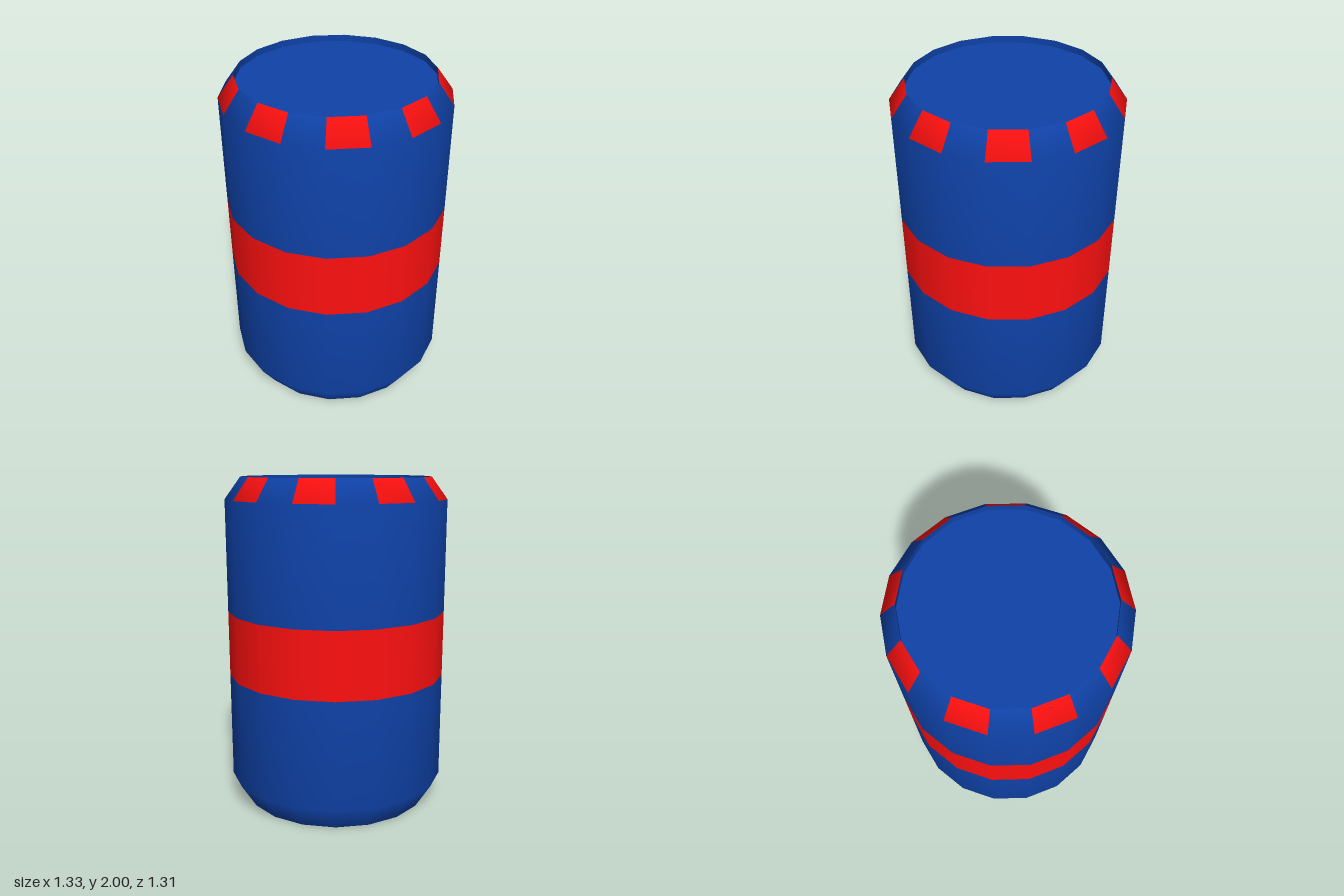
import * as THREE from 'three';

const SIDES = 18;
const RIM = 0.57, WALL = 0.665, RECESS = 0.04;
const blue = new THREE.MeshStandardMaterial({ color: 0x0f42a8 });
const red = new THREE.MeshStandardMaterial({ color: 0xff1010 });

// 18-sided surface of revolution with a corner on the +x axis
function lathe(profile) {
  const points = profile.map(([r, y]) => new THREE.Vector2(r, y));
  return new THREE.LatheGeometry(points, SIDES, Math.PI / 2);
}

export function createModel() {
  const model = new THREE.Group();
  model.name = 'barrel';

  function add(name, geometry, material) {
    const mesh = new THREE.Mesh(geometry, material);
    mesh.name = name;
    model.add(mesh);
    return mesh;
  }

  // Outer shell: bottom chamfer, lower wall, belt, upper wall, top chamfer
  const profile = [[RIM, 0], [WALL, 0.15], [WALL, 0.8], [WALL, 1.2], [WALL, 1.87], [RIM, 2]];
  const shell = lathe(profile);
  const rows = profile.length - 1;

  // Keep only the faces of the shell chosen by side and row, so shading stays continuous
  function patch(choose) {
    const all = Array.from(shell.index.array);
    const kept = [];
    for (let side = 0; side < SIDES; side++) {
      for (let row = 0; row < rows; row++) {
        const start = (side * rows + row) * 6;
        if (choose(side, row)) kept.push(...all.slice(start, start + 6));
      }
    }
    const geometry = shell.clone();
    geometry.setIndex(kept);
    return geometry;
  }

  const isBelt = (side, row) => row === 2;
  const isMark = (side, row) => row === 4 && side % 2 === 1;
  add('body', patch((s, r) => !isBelt(s, r) && !isMark(s, r)), blue);
  add('belt', patch(isBelt), red);
  add('shoulderMarks', patch(isMark), red);

  // Shallow recessed lid
  add('topRimInside', lathe([[RIM, 2], [RIM, 2 - RECESS]]), blue);
  const lid = add('lid', new THREE.CircleGeometry(RIM, SIDES), blue);
  lid.rotation.x = -Math.PI / 2;
  lid.position.y = 2 - RECESS;

  // Shallow recessed underside
  add('bottomRimInside', lathe([[RIM, RECESS], [RIM, 0]]), red);
  const underside = add('underside', new THREE.CircleGeometry(RIM, SIDES), red);
  underside.rotation.x = Math.PI / 2;
  underside.position.y = RECESS;

  return model;
}
